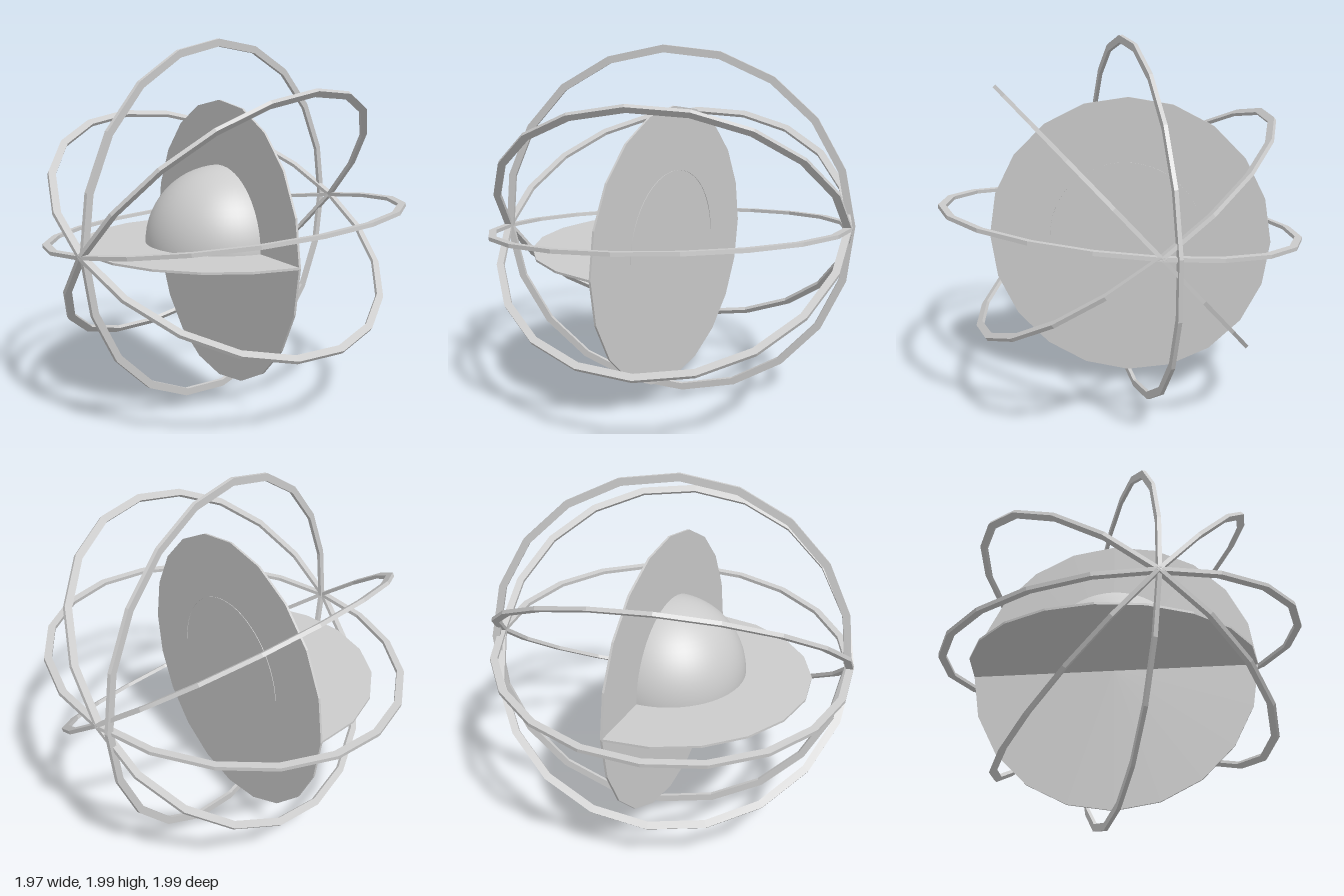
import * as THREE from 'three';

const SIDES = 20;

function polygon(radius) {
  return Array.from({ length: SIDES }, (_, i) => {
    const a = (i / SIDES) * Math.PI * 2;
    return new THREE.Vector2(Math.cos(a) * radius, Math.sin(a) * radius);
  });
}

export function createModel() {
  const model = new THREE.Group();
  const flat = new THREE.MeshStandardMaterial({ color: 0xcccccc, flatShading: true });
  const smooth = new THREE.MeshStandardMaterial({ color: 0xcccccc, side: THREE.DoubleSide });

  const add = (parent, name, geometry, material) => {
    const mesh = new THREE.Mesh(geometry, material);
    mesh.name = name;
    parent.add(mesh);
    return mesh;
  };

  // Faceted flat hoop with a rectangular section
  const hoopShape = new THREE.Shape(polygon(0.995));
  hoopShape.holes.push(new THREE.Path(polygon(0.955)));
  const hoop = new THREE.ExtrudeGeometry(hoopShape, { depth: 0.02, bevelEnabled: false });
  hoop.translate(0, 0, -0.01);

  // Hoops fan out around a shared, nearly front-to-back axis
  const rings = new THREE.Group();
  rings.name = 'rings';
  model.add(rings);
  function addRing(name, axis, degrees, center) {
    const d = new THREE.Vector3(...axis).normalize();
    const u = new THREE.Vector3(0, 1, 0).cross(d).normalize();
    const v = d.clone().cross(u);
    const a = THREE.MathUtils.degToRad(degrees);
    const e = u.multiplyScalar(Math.cos(a)).addScaledVector(v, Math.sin(a));
    const ring = add(rings, name, hoop, flat);
    ring.quaternion.setFromRotationMatrix(
      new THREE.Matrix4().makeBasis(d, e, d.clone().cross(e)));
    ring.position.set(...center);
  }
  const axis = [-0.372, -0.051, 0.927];
  addRing('fallingRing', axis, -35.5, [-0.003, 1.005, 0]);
  addRing('levelRing', axis, 6.2, [-0.003, 1.003, 0]);
  addRing('risingRing', axis, 47.5, [-0.004, 1.004, 0]);
  addRing('uprightRing', [-0.33, -0.05, 0.943], 88.2, [-0.035, 1.001, -0.025]);

  // Core: upright disc, half disc shelf and quarter-sphere dome
  const core = new THREE.Group();
  core.name = 'core';
  core.position.set(-0.035, 0.885, -0.025);
  core.rotation.y = -0.667;
  model.add(core);

  const disc = new THREE.CylinderGeometry(0.785, 0.785, 0.012, SIDES);
  disc.rotateX(Math.PI / 2);
  add(core, 'uprightDisc', disc, flat);

  add(core, 'halfDiscShelf', new THREE.CylinderGeometry(
    0.785, 0.785, 0.012, SIDES / 2, 1, false, -Math.PI / 2, Math.PI), flat);

  // The dome's open rim just shows through the back of the disc
  const dome = add(core, 'dome', new THREE.SphereGeometry(
    0.43, 32, 16, 0, Math.PI, 0, Math.PI / 2), smooth);
  dome.position.set(0.01, 0, -0.009);

  return model;
}
